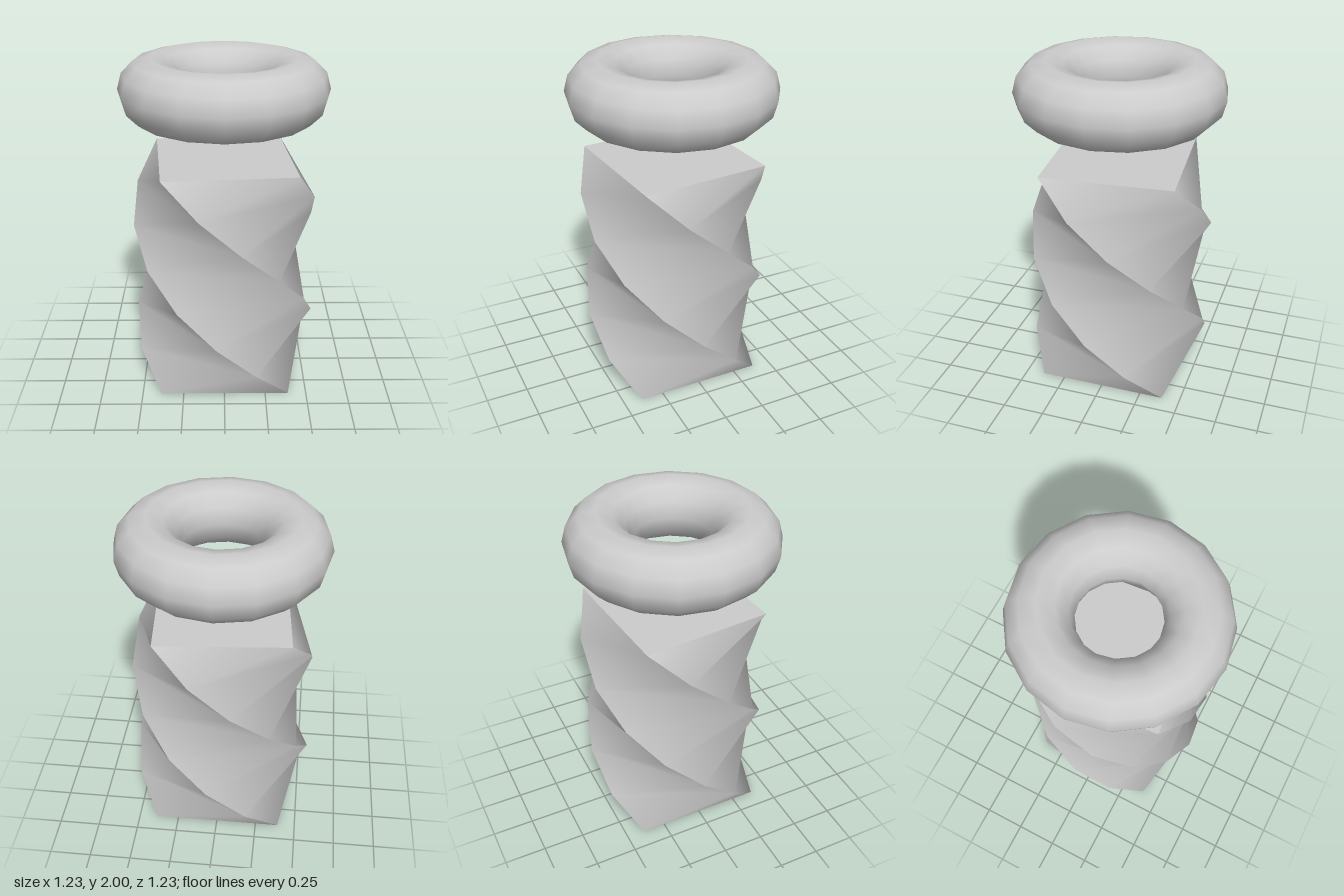
import * as THREE from 'three';

export function createModel() {
  const model = new THREE.Group();
  const grey = new THREE.MeshStandardMaterial({ color: 0xcccccc });

  // Square column twisted 25 degrees per layer; each side stays smooth, corners sharp
  const height = 1.4, layers = 7, side = 0.778;
  const columnGeometry = new THREE.BoxGeometry(side, height, side, 1, layers, 1);
  columnGeometry.translate(0, height / 2, 0);
  const position = columnGeometry.attributes.position;
  const yAxis = new THREE.Vector3(0, 1, 0);
  const v = new THREE.Vector3();
  const twist = THREE.MathUtils.degToRad(-25 * layers);
  for (let i = 0; i < position.count; i++) {
    v.fromBufferAttribute(position, i);
    v.applyAxisAngle(yAxis, twist * v.y / height);
    position.setXYZ(i, v.x, v.y, v.z);
  }
  columnGeometry.computeVertexNormals();
  const column = new THREE.Mesh(columnGeometry, grey);
  column.name = 'twistedColumn';
  model.add(column);

  // Ring floating above the column
  const ringGeometry = new THREE.TorusGeometry(0.424, 0.189, 12, 16);
  ringGeometry.rotateX(-Math.PI / 2);
  const ring = new THREE.Mesh(ringGeometry, grey);
  ring.name = 'floatingRing';
  ring.position.y = 1.811;
  model.add(ring);

  return model;
}
